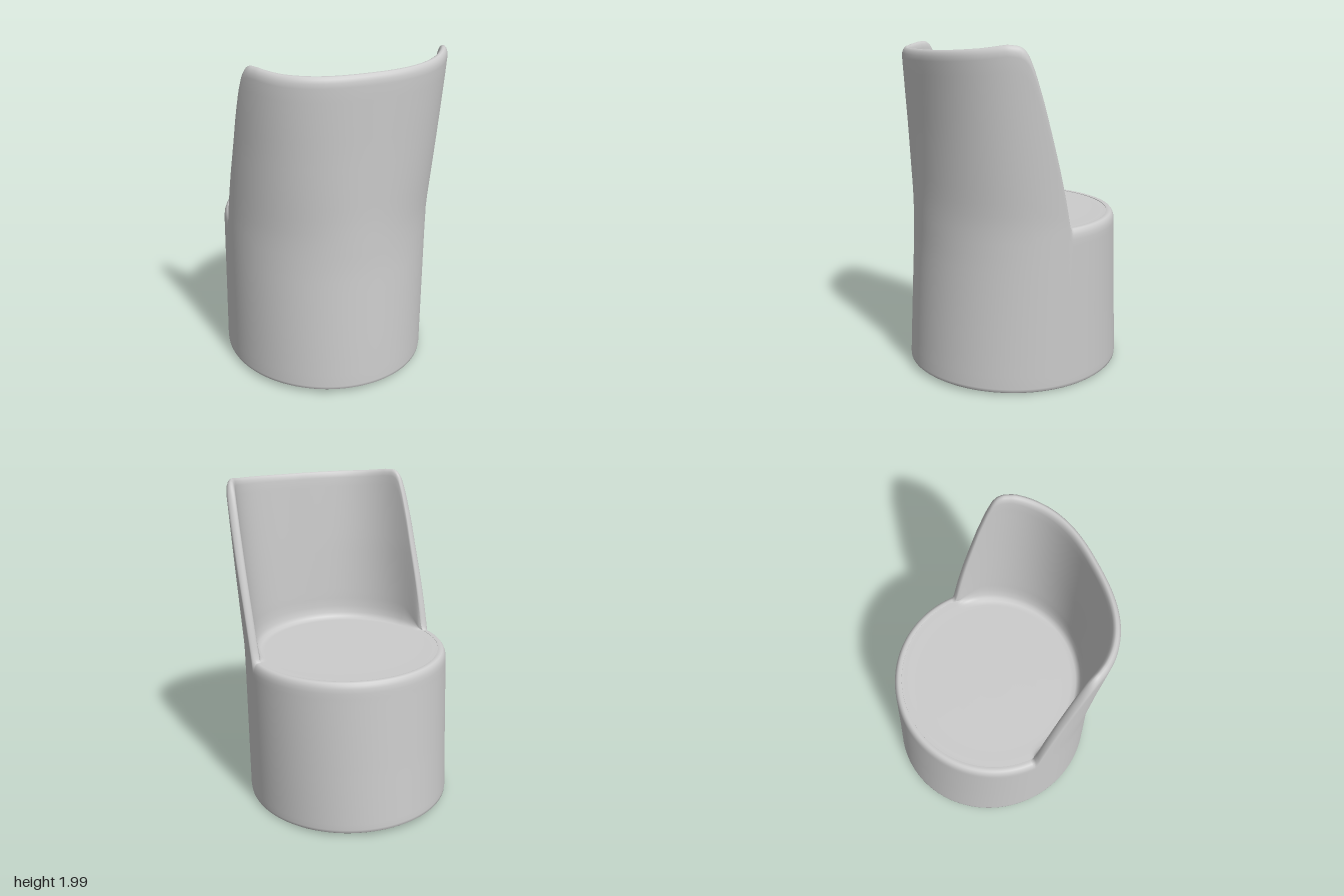
import * as THREE from 'three';

const COLS = 300;
const SEAT = 0.965;

// piecewise-linear lookup in a list of [key, value] pairs
function lookup(table, k) {
  if (k <= table[0][0]) return table[0][1];
  for (let i = 1; i < table.length; i++) {
    const [k0, v0] = table[i - 1], [k1, v1] = table[i];
    if (k <= k1) return v0 + (v1 - v0) * (k - k0) / (k1 - k0);
  }
  return table[table.length - 1][1];
}

// outline of the body at each height: side shift, half width, back and front reach
const shiftX = [[0, -0.025], [1, -0.012], [1.5, 0.002], [2, 0.009]];
const halfX = [[0, 0.63], [1, 0.629], [1.5, 0.635], [1.9, 0.643], [2, 0.643]];
const backZ = [[0, 0.67], [0.3, 0.655], [0.8, 0.627], [1.1, 0.622], [1.5, 0.63], [2, 0.645]];
const frontZ = [[0, 0.67], [0.4, 0.643], [0.9, 0.613], [2, 0.61]];

// height of the rim, keyed by how far round towards the backrest a column stands
const rim = [[-1, 0.97], [0, 0.967], [0.018, 0.98], [0.036, 1.03], [0.075, 1.16], [0.132, 1.34],
  [0.253, 1.69], [0.32, 1.85], [0.365, 1.93], [0.4, 1.965], [0.45, 1.982], [0.55, 1.985],
  [0.75, 1.968], [1, 1.955]];

// point on the body at angle t, height y, moved inwards by inset
function place(t, y, inset) {
  const c = Math.cos(t), s = Math.sin(t);
  const n = 2 + 0.6 * Math.min(1, Math.max(0, y - 1));
  const bend = (v) => Math.sign(v) * Math.pow(Math.abs(v), 2 / n);
  const k = 1 - inset / 0.64;
  const reach = lookup(s > 0 ? backZ : frontZ, y);
  return [lookup(shiftX, y) + lookup(halfX, y) * bend(c) * k, y, reach * bend(s) * k];
}

// one closed section: cavity, foot rim, outer wall, top rim, inner wall, seat
function column(t) {
  const c = Math.cos(t), s = Math.sin(t);
  const foot = 0.011 - 0.01 * c + 0.015 * s * s;
  const back = THREE.MathUtils.smoothstep(s, 0.3, 0.6);
  const top = lookup(rim, s) + 0.014 * c * back;
  const k = Math.min(1, Math.max(0, (top - SEAT) / 0.12));
  const p = [];
  const add = (inset, y) => p.push(place(t, y, inset));

  // hollow underside
  for (const inset of [0.64, 0.4, 0.15, 0.08]) add(inset, 0.9);
  add(0.05, 0.87);
  for (let i = 0; i <= 6; i++) add(0.042, 0.82 - i * 0.125);
  // rounded foot
  add(0.038, foot + 0.02);
  add(0.026, foot + 0.003);
  add(0.012, foot);
  add(0.002, foot + 0.008);
  // outer wall
  const y0 = foot + 0.025, y1 = top - 0.06;
  for (let i = 0; i <= 24; i++) add(0, y0 + (y1 - y0) * i / 24);
  // rounded top edge
  add(0.003, top - 0.034);
  add(0.01, top - 0.015);
  add(0.02, top - 0.003);
  add(0.03, top);
  add(0.039, top - 0.005 * k);
  add(0.046, top - 0.018 * k);
  add(0.05, top - 0.04 * k);
  // inner face of the backrest, then the fillet into the seat
  const start = top - 0.04 * k, end = SEAT + (start - SEAT) * 0.1;
  const low = Math.min(end, SEAT + 0.08 * k);
  for (let i = 1; i <= 16; i++) add(0.05 + 0.012 * k * i / 16, start + (low - start) * i / 16);
  add(0.07, SEAT + (low - SEAT) * 0.45);
  add(0.082, SEAT + (low - SEAT) * 0.15);
  add(0.1, SEAT);
  // seat
  for (const inset of [0.13, 0.2, 0.35, 0.5, 0.64]) add(inset, SEAT - 0.001);
  return p;
}

function shellGeometry() {
  const positions = [], index = [];
  let rows = 0;
  for (let i = 0; i < COLS; i++) {
    const col = column(i / COLS * Math.PI * 2);
    rows = col.length;
    for (const q of col) positions.push(...q);
  }
  for (let i = 0; i < COLS; i++) {
    const a = i * rows, b = ((i + 1) % COLS) * rows;
    for (let j = 0; j < rows - 1; j++) {
      index.push(a + j, a + j + 1, b + j, b + j, a + j + 1, b + j + 1);
    }
  }
  const g = new THREE.BufferGeometry();
  g.setAttribute('position', new THREE.Float32BufferAttribute(positions, 3));
  g.setIndex(index);
  g.computeVertexNormals();
  return g;
}

export function createModel() {
  const group = new THREE.Group();
  group.name = 'tubChair';
  const material = new THREE.MeshStandardMaterial({ color: 0xcccccc, side: THREE.DoubleSide });
  const shell = new THREE.Mesh(shellGeometry(), material);
  shell.name = 'chairShell';
  group.add(shell);
  return group;
}
